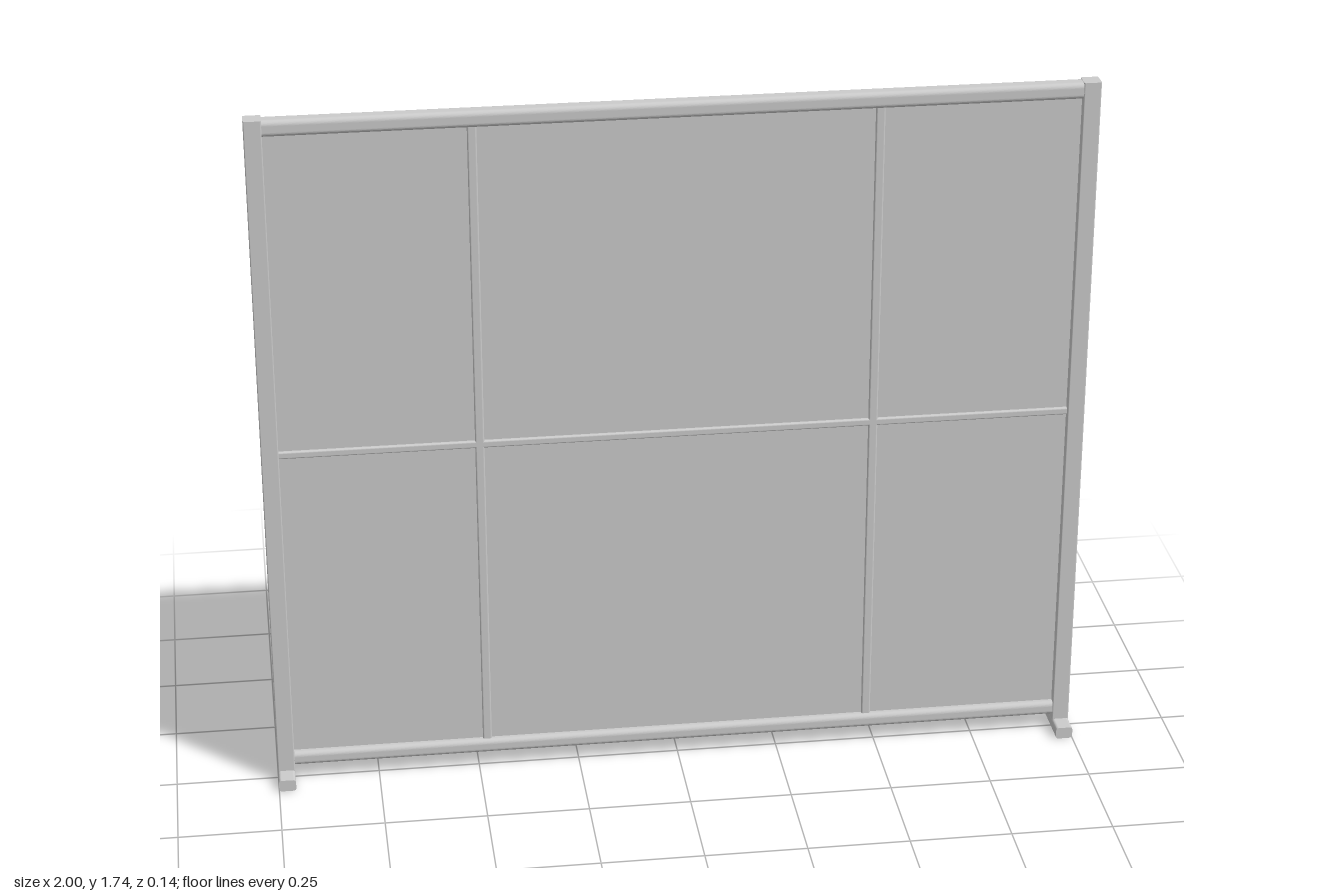
import * as THREE from 'three';

const material = new THREE.MeshStandardMaterial({ color: 0xcccccc });

// Rounded rectangle centred on the origin
function roundedRect(w, h, r) {
  const s = new THREE.Shape();
  const x = w / 2, y = h / 2;
  s.moveTo(-x + r, -y);
  s.lineTo(x - r, -y);
  s.absarc(x - r, -y + r, r, -Math.PI / 2, 0);
  s.lineTo(x, y - r);
  s.absarc(x - r, y - r, r, 0, Math.PI / 2);
  s.lineTo(-x + r, y);
  s.absarc(-x + r, y - r, r, Math.PI / 2, Math.PI);
  s.lineTo(-x, -y + r);
  s.absarc(-x + r, -y + r, r, Math.PI, Math.PI * 1.5);
  return s;
}

// Straight bar of rounded section, centred, running along the given axis
function bar(w, h, r, length, axis) {
  const g = new THREE.ExtrudeGeometry(roundedRect(w, h, r), {
    depth: length, bevelEnabled: false, curveSegments: 5,
  });
  g.translate(0, 0, -length / 2);
  if (axis === 'x') g.rotateY(Math.PI / 2);
  if (axis === 'y') g.rotateX(-Math.PI / 2);
  return g;
}

export function createModel() {
  const group = new THREE.Group();
  const add = (name, geometry, x, y, z = 0) => {
    const mesh = new THREE.Mesh(geometry, material);
    mesh.name = name;
    mesh.position.set(x, y, z);
    group.add(mesh);
  };

  const top = 1.74, post = 0.042, inner = 2 - 2 * post;

  for (const side of [-1, 1]) {
    const label = side > 0 ? 'left' : 'right';
    const x = side * (1 - post / 2);
    // Upright post standing on a crosswise foot
    add(label + 'Post', bar(post, post, 0.003, top - 0.028, 'y'), x, (top + 0.028) / 2);
    add(label + 'Foot', bar(post, 0.03, 0.007, 0.138, 'z'), x, 0.015);
    // Slim vertical divider
    add(label + 'Divider', bar(0.022, 0.022, 0.004, 1.64, 'y'), side * 0.478, 0.89);
  }

  // Horizontal rails between the posts
  add('topRail', bar(0.042, 0.04, 0.012, inner, 'x'), 0, 1.719);
  add('bottomRail', bar(0.042, 0.036, 0.012, inner, 'x'), 0, 0.06);
  add('middleRail', bar(0.022, 0.018, 0.004, inner, 'x'), 0, 0.889);

  // Thin infill panel
  add('panel', new THREE.BoxGeometry(inner, 1.64, 0.006), 0, 0.89);
  return group;
}
